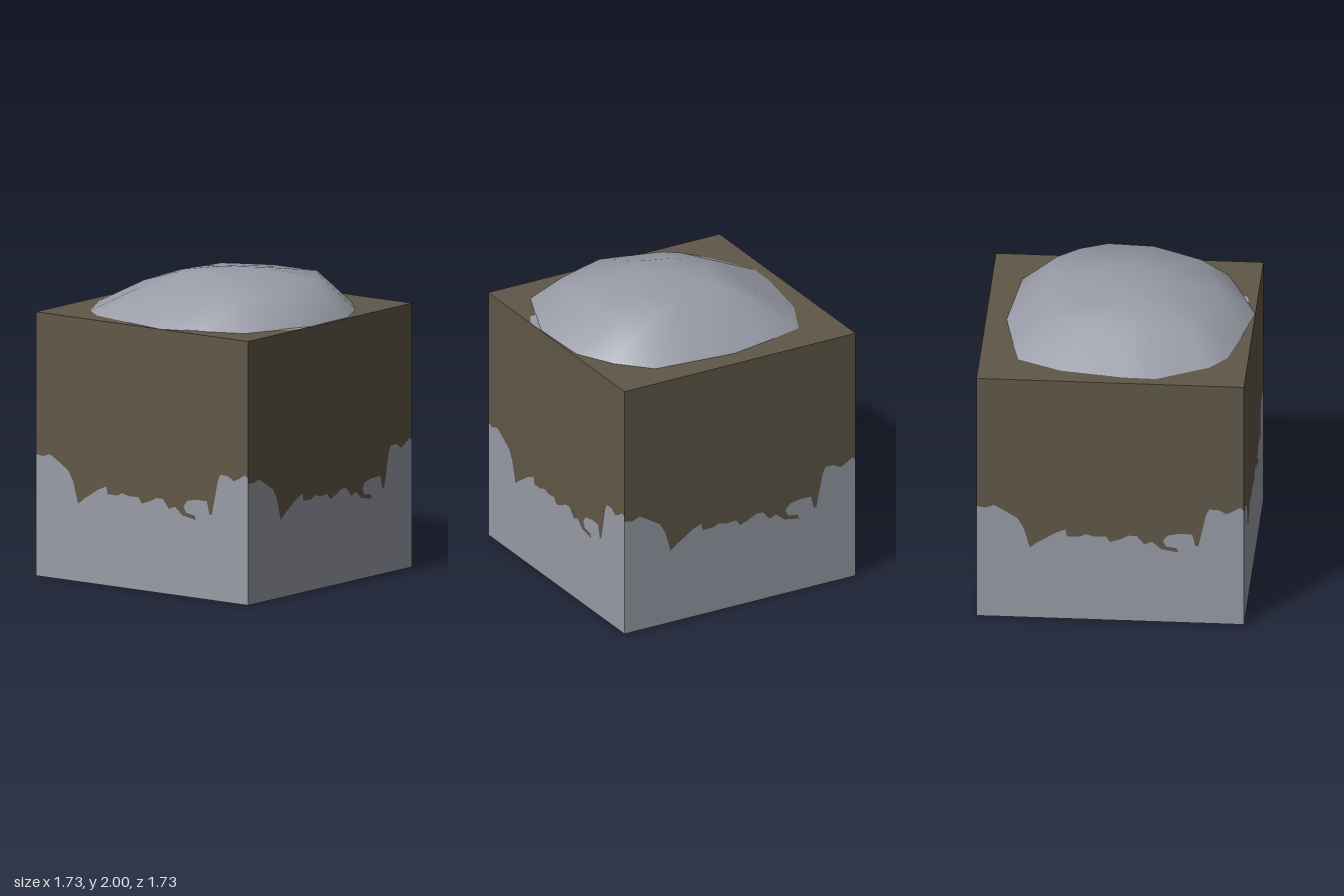
import * as THREE from 'three';

const H = 0.865;     // half width of the block
const TOP = 1.73;    // height of the block

const earth = new THREE.MeshStandardMaterial({ name: 'earth brown', color: 0x605748 });
const stone = new THREE.MeshStandardMaterial({ name: 'stone grey', color: 0x999ca7 });

// Ragged line between stone and earth, left to right across one side
const EDGE = [
  [-H, 0.80], [-0.81, 0.79], [-0.75, 0.81], [-0.69, 0.775], [-0.6, 0.72], [-0.56, 0.65],
  [-0.52, 0.51], [-0.47, 0.55], [-0.42, 0.58], [-0.36, 0.62], [-0.29, 0.65], [-0.28, 0.6],
  [-0.2, 0.6], [-0.16, 0.62], [-0.1, 0.605], [-0.03, 0.61], [0, 0.57], [0.06, 0.59],
  [0.12, 0.62], [0.17, 0.62], [0.22, 0.56], [0.27, 0.58], [0.33, 0.53], [0.44, 0.51],
  [0.43, 0.54], [0.36, 0.55], [0.34, 0.59], [0.37, 0.63], [0.44, 0.645], [0.53, 0.645],
  [0.55, 0.56], [0.57, 0.56], [0.6, 0.7], [0.62, 0.79], [0.64, 0.83], [0.7, 0.83],
  [0.75, 0.8], [0.79, 0.82], [0.84, 0.85], [H, 0.83],
];

// Outline of the mound (x, z), clockwise from above
const MOUND = [
  [-0.585, -0.615], [-0.32, -0.675], [-0.04, -0.73], [0.24, -0.7], [0.52, -0.67],
  [0.71, -0.47], [0.845, -0.22], [0.86, 0.2], [0.77, 0.43], [0.675, 0.655],
  [0.42, 0.76], [0.15, 0.863], [-0.16, 0.8], [-0.47, 0.73], [-0.61, 0.62],
  [-0.79, 0.29], [-0.785, 0.08], [-0.72, -0.33],
];

// Stone patch on the underside (x, z)
const UNDER = [
  [0.67, 0.5], [0.84, 0.2], [0.86, 0], [0.84, -0.4], [0.75, -0.73], [0.39, -0.85],
  [-0.05, -0.86], [-0.32, -0.75], [-0.57, -0.62], [-0.69, -0.52], [-0.79, -0.29],
  [-0.8, 0.14], [-0.72, 0.4], [-0.59, 0.6], [-0.34, 0.69], [0.15, 0.72], [0.5, 0.67],
];

// Slivers of stone beside the mound (x, z)
const SLIVERS = [
  [[0.865, 0.2], [0.865, 0.33], [0.82, 0.41], [0.77, 0.42]],
  [[0.4, 0.76], [0.37, 0.8], [0.32, 0.81], [0.28, 0.8]],
];

const flat = (pts) => new THREE.ShapeGeometry(new THREE.Shape(pts.map(([x, y]) => new THREE.Vector2(x, y))));
const facingUp = (pts) => flat(pts.map(([x, z]) => [x, -z])).rotateX(-Math.PI / 2);
const facingDown = (pts) => flat(pts).rotateX(Math.PI / 2);
const square = [[-H, -H], [H, -H], [H, H], [-H, H]];

function add(parent, name, geometry, material, y = 0) {
  const mesh = new THREE.Mesh(geometry, material);
  mesh.name = name;
  mesh.position.y = y;
  parent.add(mesh);
  return mesh;
}

// Low dome made of shrinking copies of the outline
function moundGeometry() {
  const n = MOUND.length;
  const pos = [];
  const index = [];
  const rings = [
    ([x, z]) => [x, TOP, z],
    ([x, z]) => {
      const mx = (x - 0.035) * 0.68 + 0.09;
      const mz = (z - 0.07) * 0.7 + 0.08;
      return [mx, 1.92 + 0.035 * mx - 0.05 * mz, mz];
    },
    ([x, z]) => {
      const mx = (x - 0.035) * 0.33;
      const mz = (z - 0.07) * 0.36 + 0.02;
      return [mx, 1.975 + 0.05 * mx + 0.03 * mz, mz];
    },
  ];
  rings.forEach((ring) => MOUND.forEach((p) => pos.push(...ring(p))));
  pos.push(-0.02, 2, 0);
  for (let r = 0; r < rings.length; r++) {
    for (let i = 0; i < n; i++) {
      const a = r * n + i;
      const b = r * n + (i + 1) % n;
      if (r === rings.length - 1) index.push(b, a, rings.length * n);
      else index.push(b, a, a + n, b, a + n, b + n);
    }
  }
  const g = new THREE.BufferGeometry();
  g.setAttribute('position', new THREE.Float32BufferAttribute(pos, 3));
  g.setIndex(index);
  g.computeVertexNormals();
  return g;
}

export function createModel() {
  const model = new THREE.Group();
  model.name = 'groundBlock';

  // Four matching sides, each split along the ragged line
  const lower = flat([[-H, 0], ...EDGE, [H, 0]]).translate(0, 0, H);
  const upper = flat([[-H, TOP], ...EDGE, [H, TOP]]).translate(0, 0, H);
  for (let i = 0; i < 4; i++) {
    const side = new THREE.Group();
    side.name = 'side' + (i + 1);
    add(side, 'stoneLayer', lower, stone);
    add(side, 'earthLayer', upper, earth);
    side.rotation.y = i * Math.PI / 2;
    model.add(side);
  }

  // Top and underside
  add(model, 'topFace', facingUp(square), earth, TOP);
  SLIVERS.forEach((s) => add(model, 'topStoneSliver', facingUp(s), stone, TOP + 0.003));
  add(model, 'bottomFace', facingDown(square), earth, 0.003);
  add(model, 'bottomStonePatch', facingDown(UNDER), stone);

  // Rounded stone mound
  add(model, 'mound', moundGeometry(), stone);

  return model;
}
